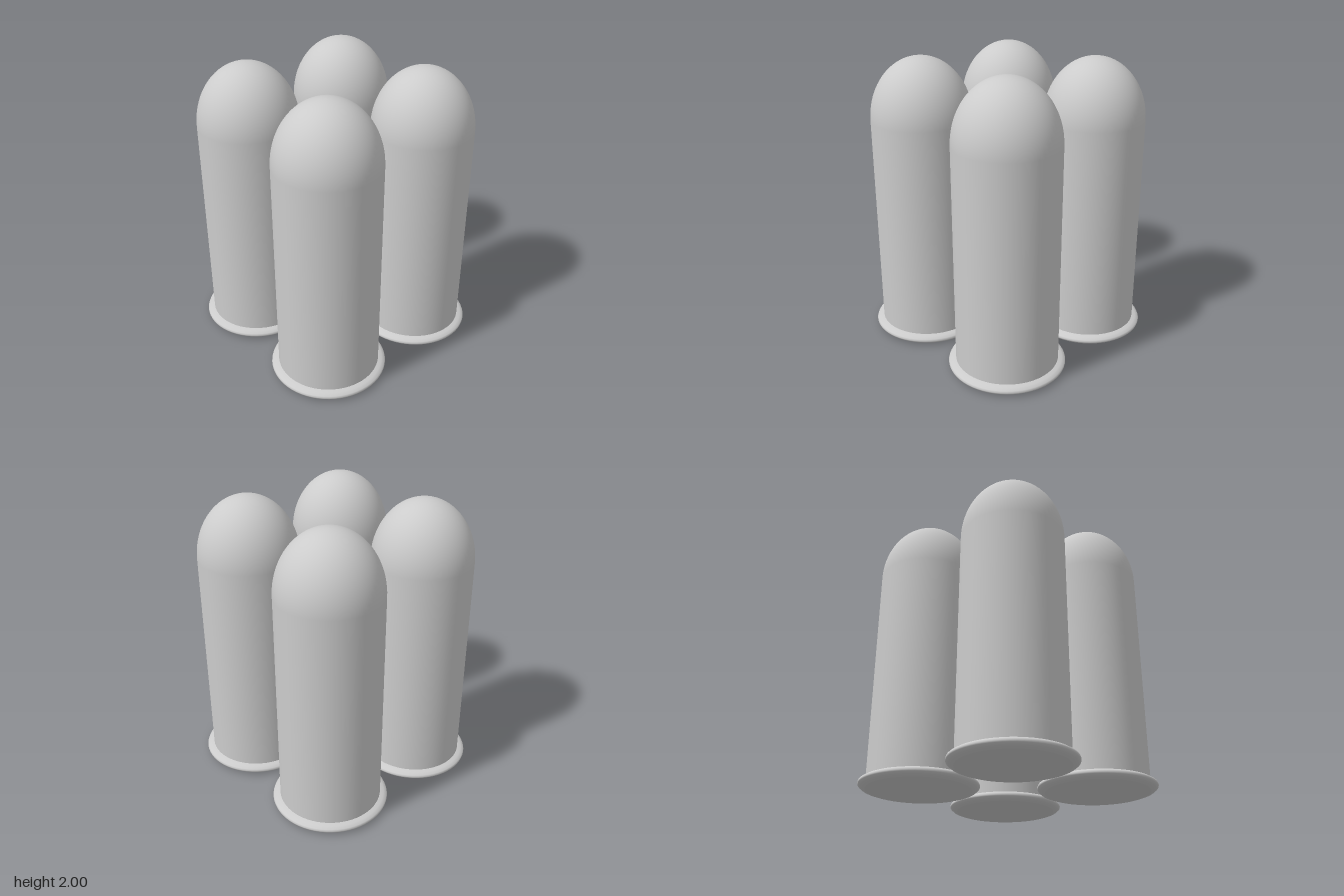
import * as THREE from 'three';

const SEGMENTS = 64;
const RADIUS = 0.35;
const SHOULDER = 1.57; // height where the dome starts
const TOP = 2;

const lathe = (points) => new THREE.LatheGeometry(points, SEGMENTS);
const v = (x, y) => new THREE.Vector2(x, y);

export function createModel() {
  const model = new THREE.Group();
  const material = new THREE.MeshStandardMaterial({ color: 0xcccccc });

  // Straight wall running smoothly into a slightly tall dome
  const bodyProfile = [v(RADIUS, 0.04)];
  const steps = 24;
  for (let i = 0; i <= steps; i++) {
    const a = (i / steps) * Math.PI / 2;
    bodyProfile.push(v(i === steps ? 0 : RADIUS * Math.cos(a), SHOULDER + (TOP - SHOULDER) * Math.sin(a)));
  }
  const bodyGeometry = lathe(bodyProfile);

  // Rounded lip around the foot
  const rimGeometry = lathe([
    v(0.35, 0), v(0.38, 0.01), v(0.397, 0.024), v(0.4, 0.034),
    v(0.395, 0.046), v(0.375, 0.058), v(0.348, 0.065),
  ]);

  // Flat underside
  const baseGeometry = new THREE.CircleGeometry(RADIUS, SEGMENTS).rotateX(Math.PI / 2);

  // Four capsules in a ring, touching the front, back, left and right
  const names = ['frontCapsule', 'leftCapsule', 'backCapsule', 'rightCapsule'];
  names.forEach((name, i) => {
    const capsule = new THREE.Group();
    capsule.name = name;
    const parts = { body: bodyGeometry, footRim: rimGeometry, base: baseGeometry };
    for (const [part, geometry] of Object.entries(parts)) {
      const mesh = new THREE.Mesh(geometry, material);
      mesh.name = part;
      capsule.add(mesh);
    }
    const angle = i * Math.PI / 2;
    capsule.position.set(0.588 * Math.sin(angle), 0, 0.588 * Math.cos(angle));
    model.add(capsule);
  });

  return model;
}
